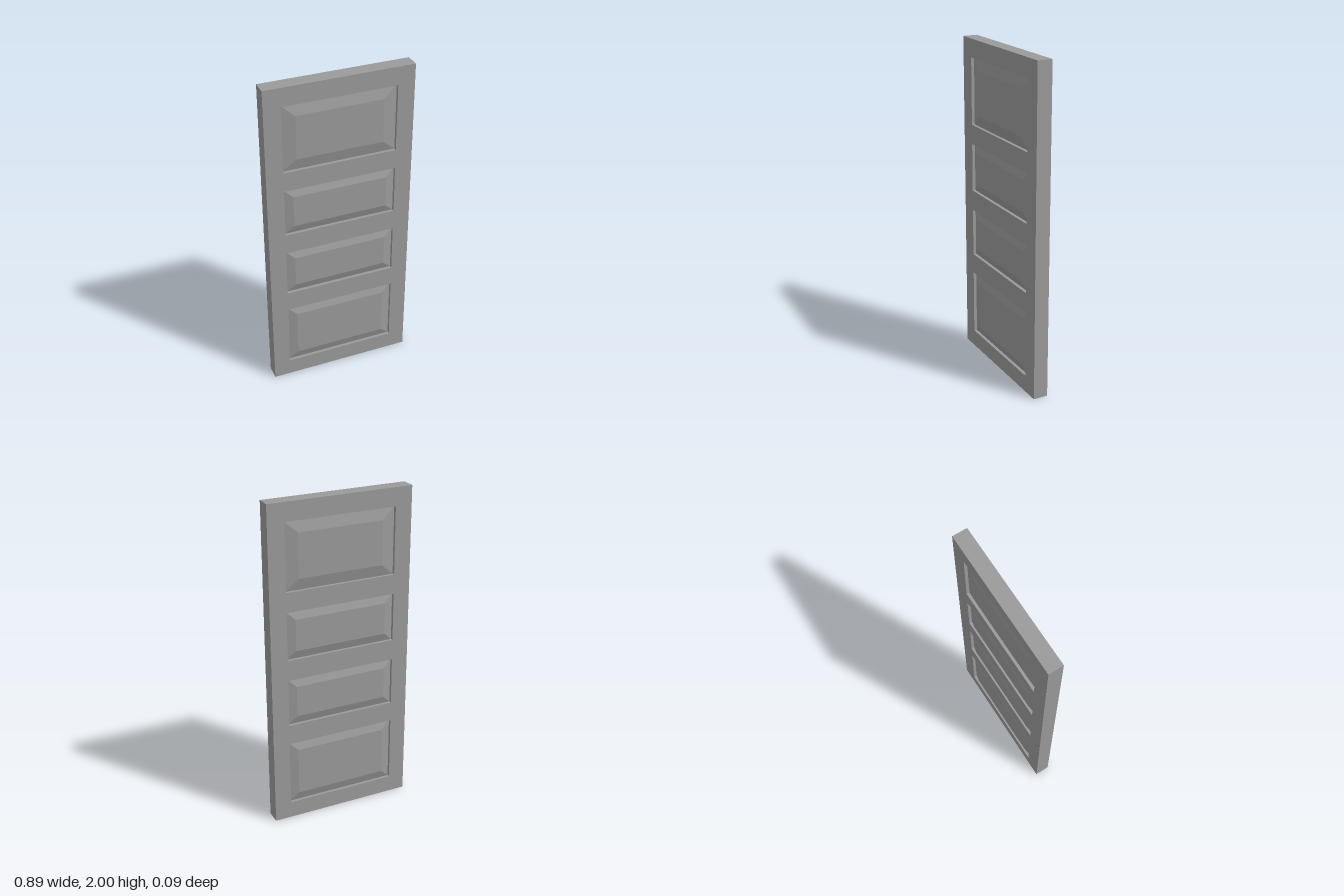
import * as THREE from 'three';

const WIDTH = 0.888, HEIGHT = 2, THICK = 0.09;
const PANEL_W = 0.683;   // width of every panel opening
const GROOVE_Z = 0.026;  // half thickness at the sunken panel rim
const FIELD_Z = 0.043;   // half thickness at the raised panel field

// name, bottom, top, bevel width in x, bevel width in y
const PANELS = [
  ['bottomPanel', 0.105, 0.515, 0.057, 0.055],
  ['lowerMiddlePanel', 0.64, 0.936, 0.055, 0.051],
  ['upperMiddlePanel', 1.063, 1.36, 0.055, 0.051],
  ['topPanel', 1.48, 1.888, 0.08, 0.07],
];

function rectangle(Type, w, y0, y1) {
  const r = new Type();
  r.moveTo(-w / 2, y0);
  r.lineTo(w / 2, y0);
  r.lineTo(w / 2, y1);
  r.lineTo(-w / 2, y1);
  r.closePath();
  return r;
}

// Box whose front and back caps are drawn in, giving a bevelled raised field on both sides
function raisedPanel(w, h, bevelX, bevelY) {
  const geo = new THREE.BoxGeometry(w, h, 6, 1, 1, 3).toNonIndexed();
  const p = geo.attributes.position;
  for (let i = 0; i < p.count; i++) {
    const z = p.getZ(i), side = Math.sign(z);
    if (Math.abs(z) > 2) {
      p.setXYZ(i, p.getX(i) - Math.sign(p.getX(i)) * bevelX,
        p.getY(i) - Math.sign(p.getY(i)) * bevelY, side * FIELD_Z);
    } else {
      p.setZ(i, side * GROOVE_Z);
    }
  }
  geo.computeVertexNormals();
  return geo;
}

export function createModel() {
  const door = new THREE.Group();
  door.name = 'panelDoor';
  const material = new THREE.MeshStandardMaterial({ color: 0x9b9b9b, flatShading: true });

  // Stiles and rails: one slab with four openings
  const outline = rectangle(THREE.Shape, WIDTH, 0, HEIGHT);
  for (const [, y0, y1] of PANELS) outline.holes.push(rectangle(THREE.Path, PANEL_W, y0, y1));
  const frameGeo = new THREE.ExtrudeGeometry(outline, { depth: THICK, bevelEnabled: false });
  frameGeo.translate(0, 0, -THICK / 2);
  const frame = new THREE.Mesh(frameGeo, material);
  frame.name = 'doorFrame';
  door.add(frame);

  // Raised panels filling the openings
  for (const [name, y0, y1, bevelX, bevelY] of PANELS) {
    const panel = new THREE.Mesh(raisedPanel(PANEL_W, y1 - y0, bevelX, bevelY), material);
    panel.name = name;
    panel.position.y = (y0 + y1) / 2;
    door.add(panel);
  }
  return door;
}
